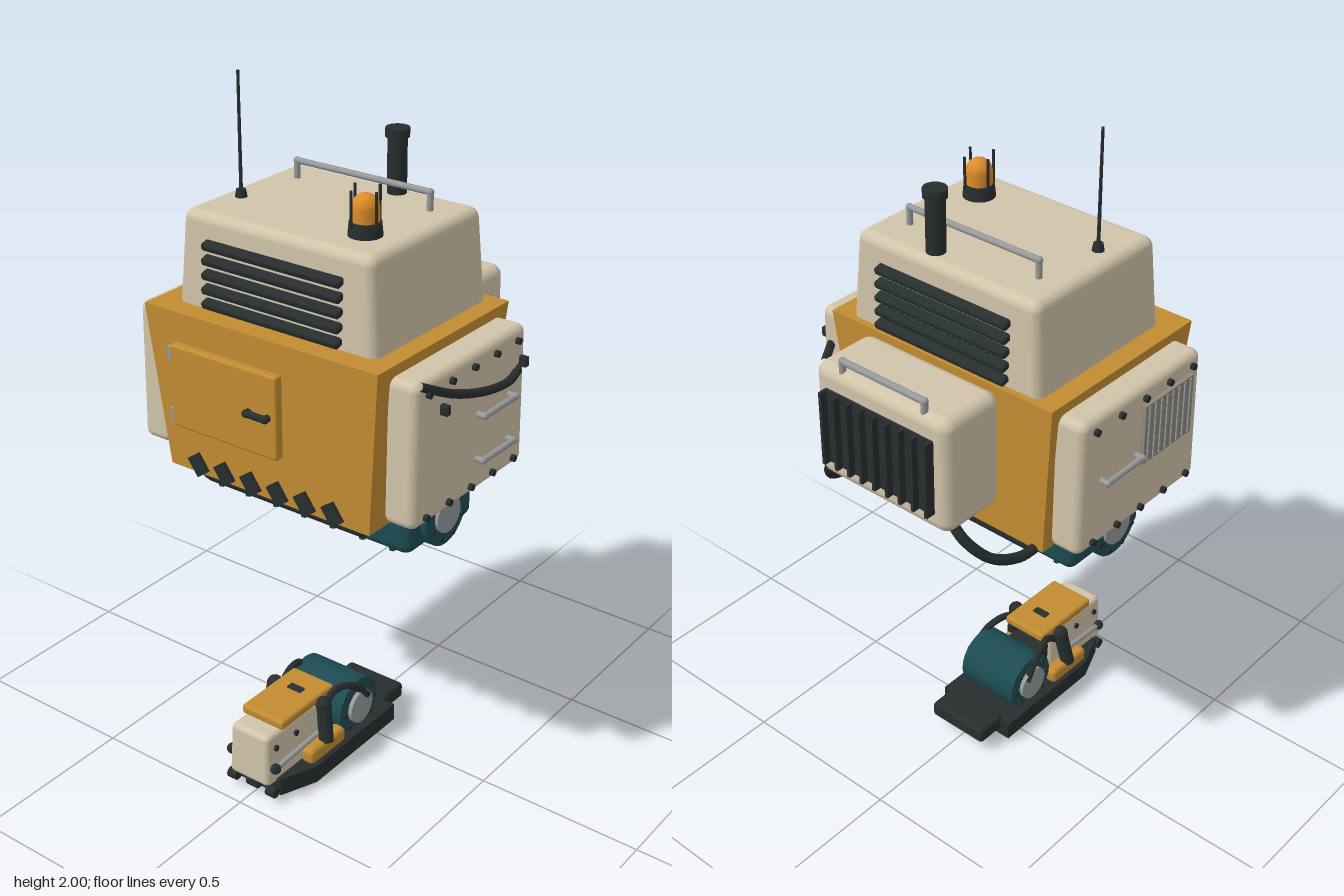
import * as THREE from 'three';
import { RoundedBoxGeometry } from 'three/addons/geometries/RoundedBoxGeometry.js';

const paint = (name, color) => Object.assign(new THREE.MeshStandardMaterial({ color }), { name });

export function createModel() {
  const root = new THREE.Group();
  root.name = 'machine';
  const mustard = paint('mustard', 0xc28c32), cream = paint('cream', 0xd2c4aa), dark = paint('charcoal', 0x272e2e);
  const teal = paint('teal', 0x1d4b53), steel = paint('steel', 0x969a9b), amber = paint('amber', 0xdc8c2a);
  const taupe = paint('grate taupe', 0x8f877a);

  // ---- helpers ----
  const group = (name) => {
    const g = new THREE.Group();
    g.name = name;
    root.add(g);
    return g;
  };
  const add = (parent, name, geo, mat, p = [0, 0, 0], r = [0, 0, 0]) => {
    const m = new THREE.Mesh(geo, mat);
    m.name = name;
    m.position.set(...p);
    m.rotation.set(...r);
    parent.add(m);
    return m;
  };
  const box = (w, h, d) => new THREE.BoxGeometry(w, h, d);
  const rbox = (w, h, d, r) => new RoundedBoxGeometry(w, h, d, 4, r);
  const cyl = (r, h, r2 = r, n = 24) => new THREE.CylinderGeometry(r2, r, h, n);
  // scale the section from (1, 1) at the top to (kx, kz) at the bottom
  const taper = (geo, h, kx, kz) => {
    const p = geo.attributes.position;
    for (let i = 0; i < p.count; i++) {
      const t = 0.5 - p.getY(i) / h;
      p.setX(i, p.getX(i) * (1 + (kx - 1) * t));
      p.setZ(i, p.getZ(i) * (1 + (kz - 1) * t));
    }
    return geo;
  };
  const tube = (parent, name, pts, r, mat) => add(parent, name, new THREE.TubeGeometry(
    new THREE.CatmullRomCurve3(pts.map((q) => new THREE.Vector3(...q))), 32, r, 10), mat);
  const rod = (parent, name, a, b, r, mat) => {
    const A = new THREE.Vector3(...a), B = new THREE.Vector3(...b);
    const m = add(parent, name, cyl(r, A.distanceTo(B), r, 12), mat);
    m.position.copy(A).add(B).multiplyScalar(0.5);
    m.quaternion.setFromUnitVectors(new THREE.Vector3(0, 1, 0), B.sub(A).normalize());
    return m;
  };
  // bar held off a surface by two short posts
  const handle = (parent, name, a, b, out, r, mat) => {
    rod(parent, name, a, b, r, mat);
    for (const e of [a, b]) {
      rod(parent, name + 'Post', e, e.map((v, i) => v - out[i]), r, mat);
      add(parent, name + 'End', new THREE.SphereGeometry(r * 1.15, 10, 8), mat, e);
    }
  };
  const X = [0, 0, Math.PI / 2];

  // ---- main housing ----
  const body = group('housing');
  add(body, 'housingShell', taper(box(0.768, 0.48, 0.593), 0.48, 0.885, 0.9), mustard, [-0.005, 1.16, 0.077]);
  add(body, 'door', rbox(0.36, 0.24, 0.03, 0.008), mustard, [-0.105, 1.195, 0.382]);
  handle(body, 'doorHandle', [-0.015, 1.195, 0.41], [0.048, 1.195, 0.41], [0, 0, 0.025], 0.01, dark);
  for (const y of [1.285, 1.105]) add(body, 'doorHinge', cyl(0.01, 0.04), steel, [-0.288, y, 0.387]);
  for (let i = 0; i < 6; i++)
    add(body, 'hazardStripe', box(0.042, 0.06, 0.012), dark, [-0.235 + i * 0.092, 0.953, 0.357], [0, 0, 0.62]);

  // ---- upper cab ----
  const cab = group('upperCab');
  add(cab, 'cabShell', taper(rbox(0.615, 0.32, 0.485, 0.028), 0.32, 1.08, 1.06), cream, [-0.003, 1.5, 0.054]);
  for (let i = 0; i < 5; i++) {
    const y = 1.42 + i * 0.04, s = (1.58 - y) * 0.05;
    add(cab, 'frontLouvre', rbox(0.45, 0.022, 0.032, 0.008), dark, [-0.005, y, 0.307 + s], [0.3, 0, 0]);
    add(cab, 'rearLouvre', rbox(0.45, 0.022, 0.032, 0.008), dark, [-0.005, y, -0.2 - s], [-0.3, 0, 0]);
  }
  handle(cab, 'roofRail', [-0.222, 1.71, -0.075], [0.217, 1.71, -0.075], [0, 0.05, 0], 0.009, steel);
  add(cab, 'antennaBase', cyl(0.017, 0.022, 0.013), dark, [-0.245, 1.67, 0.135]);
  add(cab, 'antenna', cyl(0.005, 0.34, 0.004, 8), dark, [-0.245, 1.83, 0.135]);
  add(cab, 'exhaust', cyl(0.027, 0.18), dark, [0.065, 1.745, -0.14]);
  add(cab, 'exhaustCap', cyl(0.033, 0.025), dark, [0.065, 1.827, -0.14]);

  // ---- beacon ----
  const beacon = group('beacon');
  add(beacon, 'beaconBase', cyl(0.046, 0.04, 0.042), dark, [0.19, 1.678, 0.17]);
  add(beacon, 'beaconLamp', cyl(0.037, 0.035), amber, [0.19, 1.715, 0.17]);
  add(beacon, 'beaconDome', new THREE.SphereGeometry(0.037, 24, 12), amber, [0.19, 1.733, 0.17]);
  for (let i = 0; i < 4; i++) {
    const a = i * Math.PI / 2 + 0.3;
    add(beacon, 'beaconGuard', cyl(0.004, 0.1, 0.004, 8), dark, [0.19 + 0.045 * Math.cos(a), 1.733, 0.17 + 0.045 * Math.sin(a)]);
  }

  // ---- side panels ----
  for (const s of [1, -1]) {
    const side = group(s > 0 ? 'leftPanel' : 'rightPanel');
    const x = s > 0 ? 0.46 : -0.465;
    add(side, 'panelShell', taper(rbox(0.1, 0.41, 0.505, 0.025), 0.41, 1, 1.03), cream, [x - s * 0.05, 1.165, 0.066]);
    for (let i = 0; i < 5; i++)
      for (const y of [1.335, 0.988])
        add(side, 'panelBolt', cyl(0.01, 0.02, 0.01, 8), dark, [x + s * 0.002, y, 0.275 - i * 0.103], X);
    for (const y of s > 0 ? [1.19, 1.06] : [1.17])
      handle(side, 'panelHandle', [x + s * 0.022, y, 0.042], [x + s * 0.022, y, -0.107], [s * 0.025, 0, 0], 0.009, steel);
  }
  const grate = group('sideGrate');
  add(grate, 'gratePlate', box(0.016, 0.18, 0.21), taupe, [-0.469, 1.225, 0.165]);
  for (let i = 0; i < 8; i++) add(grate, 'grateBar', box(0.006, 0.17, 0.005), steel, [-0.478, 1.225, 0.075 + i * 0.0257]);

  // ---- cable along the left panel ----
  const cable = group('sideCable');
  tube(cable, 'cable', [[0.455, 1.365, 0.305], [0.473, 1.3, 0.17], [0.483, 1.26, 0.03], [0.478, 1.245, -0.08], [0.465, 1.25, -0.14]], 0.012, dark);
  tube(cable, 'cableTail', [[0.463, 1.25, -0.14], [0.42, 1.262, -0.195], [0.352, 1.275, -0.285]], 0.012, dark);
  for (const z of [0.21, -0.16]) add(cable, 'cableClip', rbox(0.03, 0.03, 0.018, 0.005), dark, [0.468, 1.27, z]);

  // ---- rear cooler ----
  const cooler = group('rearCooler');
  add(cooler, 'coolerShell', rbox(0.467, 0.35, 0.21, 0.035), cream, [-0.003, 1.23, -0.335]);
  add(cooler, 'coolerCore', box(0.365, 0.225, 0.012), dark, [-0.003, 1.228, -0.443]);
  for (let i = 0; i < 9; i++) add(cooler, 'coolerFin', box(0.01, 0.225, 0.03), dark, [-0.186 + i * 0.0457, 1.228, -0.455]);
  handle(cooler, 'coolerHandle', [-0.145, 1.43, -0.42], [0.14, 1.43, -0.42], [0, 0.035, 0], 0.01, steel);
  for (const s of [1, -1])
    tube(cooler, 'coolerHose', [[s * 0.2, 1.09, -0.4], [s * 0.245, 1.03, -0.39], [s * 0.29, 0.96, -0.335],
      [s * 0.313, 0.925, -0.25], [s * 0.313, 0.918, -0.17], [s * 0.3, 0.915, -0.06]], 0.015, dark);

  // ---- hip drive under the housing ----
  const hip = group('hipDrive');
  add(hip, 'hipCasing', rbox(0.74, 0.125, 0.31, 0.03), teal, [0, 0.865, 0.06]);
  add(hip, 'hipShaft', cyl(0.082, 0.77), teal, [0, 0.885, 0.07], X);
  for (const z of [0.235, -0.105]) add(hip, 'hipBumper', rbox(0.56, 0.062, 0.11, 0.02), dark, [0, 0.89, z]);
  for (const s of [1, -1]) {
    add(hip, 'hipFlange', cyl(0.094, 0.06), teal, [s * 0.36, 0.885, 0.07], X);
    add(hip, 'hipHub', cyl(0.054, 0.02), steel, [s * 0.39, 0.885, 0.07], X);
    for (let i = 0; i < 8; i++) {
      const a = (i + 0.5) * Math.PI / 4;
      add(hip, 'hipBolt', cyl(0.008, 0.012, 0.008, 8), dark, [s * 0.392, 0.885 + 0.075 * Math.sin(a), 0.07 + 0.075 * Math.cos(a)], X);
    }
  }
  for (let i = 0; i < 7; i++)
    for (const z of [0.19, -0.07]) add(hip, 'casingBolt', cyl(0.01, 0.014, 0.01, 8), teal, [-0.3 + i * 0.1, 0.803, z]);

  // ---- foot ----
  const foot = group('foot');
  const sole = new THREE.Shape([[-0.13, 0.07], [0.13, 0.07], [0.13, -0.31], [0.085, -0.42], [-0.085, -0.42], [-0.13, -0.31]]
    .map((q) => new THREE.Vector2(...q)).reverse());
  add(foot, 'sole', new THREE.ExtrudeGeometry(sole, { depth: 0.055, bevelEnabled: false }), dark, [0, 0.015, 0], [-Math.PI / 2, 0, 0]);
  add(foot, 'heel', rbox(0.2, 0.05, 0.1, 0.012), dark, [0, 0.062, -0.11]);
  for (let i = 0; i < 5; i++)
    for (const x of [-0.055, 0.055])
      add(foot, 'tread', box(i > 3 ? 0.065 : 0.09, 0.022, 0.065), dark, [x * (i > 3 ? 0.75 : 1), 0.011, -0.02 + i * 0.095]);
  add(foot, 'ankleDrum', cyl(0.09, 0.2), teal, [0, 0.135, 0.07], X);
  add(foot, 'toeShell', taper(rbox(0.135, 0.165, 0.25, 0.016), 0.165, 1.08, 1.06), cream, [0, 0.137, 0.328]);
  add(foot, 'toeCap', rbox(0.15, 0.03, 0.24, 0.01), mustard, [0, 0.232, 0.275]);
  add(foot, 'capGrip', rbox(0.05, 0.012, 0.025, 0.004), dark, [0, 0.246, 0.24]);
  add(foot, 'instep', box(0.12, 0.11, 0.12), dark, [0, 0.12, 0.18]);
  add(foot, 'toeBumper', rbox(0.05, 0.035, 0.04, 0.01), dark, [0, 0.04, 0.43]);
  for (const s of [1, -1]) {
    add(foot, 'ankleHub', cyl(0.052, 0.02), steel, [s * 0.103, 0.135, 0.07], X);
    for (let i = 0; i < 8; i++) {
      const a = i * Math.PI / 4;
      add(foot, 'ankleBolt', cyl(0.007, 0.012, 0.007, 8), dark, [s * 0.102, 0.135 + 0.072 * Math.sin(a), 0.07 + 0.072 * Math.cos(a)], X);
    }
    add(foot, 'sideFender', rbox(0.045, 0.05, 0.16, 0.015), mustard, [s * 0.1, 0.095, 0.24]);
    rod(foot, 'piston', [s * 0.11, 0.11, 0.24], [s * 0.09, 0.225, 0.225], 0.022, dark);
    add(foot, 'pistonCap', new THREE.SphereGeometry(0.024, 12, 8), dark, [s * 0.09, 0.222, 0.226]);
    tube(foot, 'ankleHose', [[s * 0.08, 0.2, 0.22], [s * 0.085, 0.235, 0.16], [s * 0.1, 0.22, 0.1], [s * 0.11, 0.16, 0.04]], 0.011, dark);
    rod(foot, 'toeRod', [s * 0.08, 0.115, 0.435], [s * 0.088, 0.135, 0.25], 0.008, steel);
    add(foot, 'rodEnd', new THREE.SphereGeometry(0.016, 12, 8), dark, [s * 0.08, 0.115, 0.435]);
    add(foot, 'toeRoller', cyl(0.016, 0.03), dark, [s * 0.07, 0.035, 0.44], X);
    for (const z of [0.42, 0.33])
      add(foot, 'toeBolt', cyl(0.009, 0.012, 0.009, 8), dark, [s * 0.07, 0.175, z], X);
  }
  return root;
}
